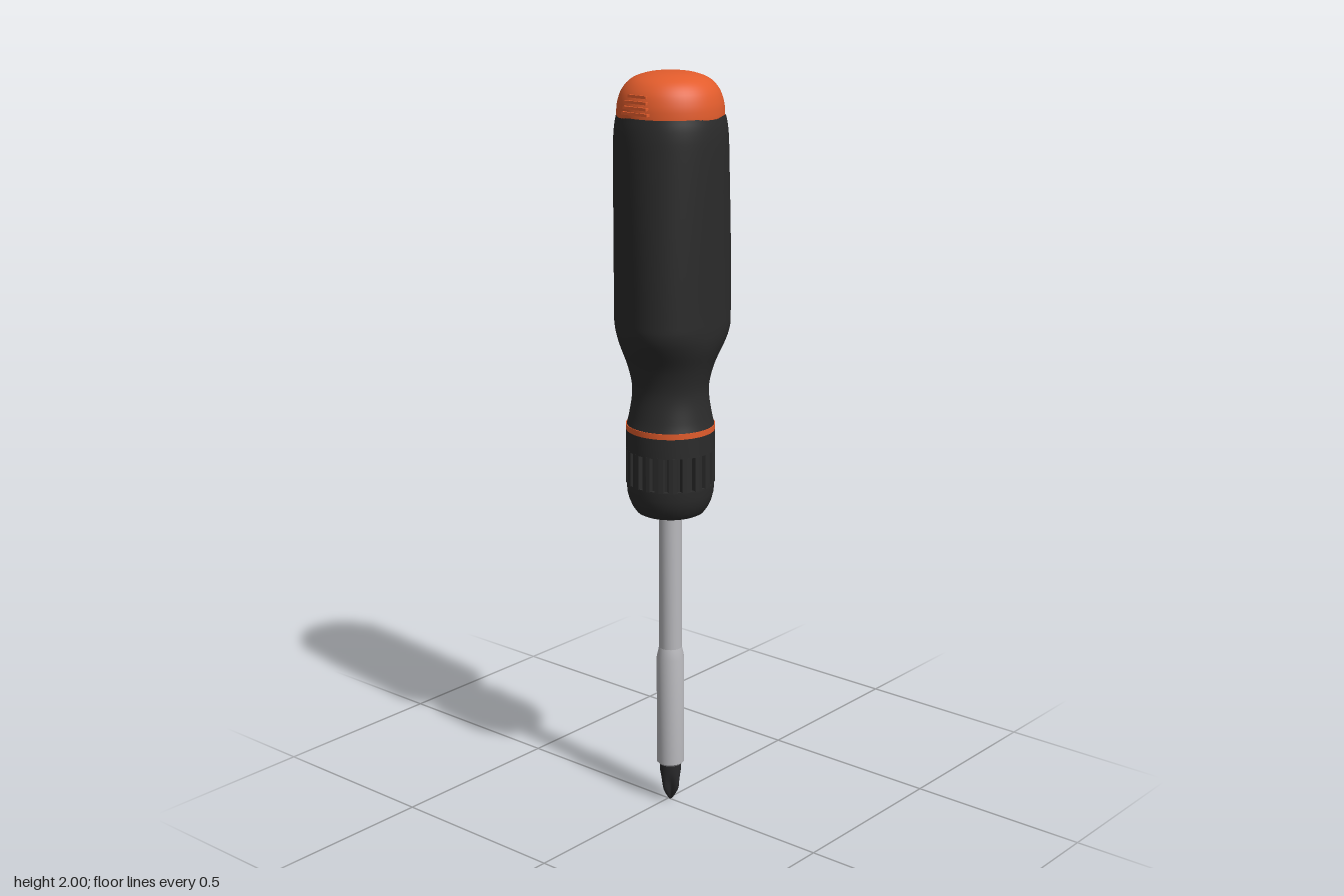
import * as THREE from 'three';
import { toCreasedNormals } from 'three/addons/utils/BufferGeometryUtils.js';

const material = (name, color) => {
  const m = new THREE.MeshStandardMaterial({ color });
  m.name = name;
  return m;
};

// Keeps edges sharper than the given angle; works at a larger scale so close points stay distinct
function crease(geometry, angle = 0.6) {
  geometry.scale(100, 100, 100);
  const out = toCreasedNormals(geometry, angle);
  return out.scale(0.01, 0.01, 0.01);
}

// Turned part from [radius, y] points (bottom to top); scaleAt(angle, y) may reshape the section
function turned(profile, segments = 48, scaleAt = null, angle = 0.6) {
  const geo = new THREE.LatheGeometry(profile.map(([r, y]) => new THREE.Vector2(r, y)), segments);
  if (scaleAt) {
    const p = geo.attributes.position;
    for (let i = 0; i < p.count; i++) {
      const x = p.getX(i), y = p.getY(i), z = p.getZ(i);
      const s = scaleAt(Math.atan2(x, z), y);
      p.setX(i, x * s);
      p.setZ(i, z * s);
    }
  }
  return crease(geo, angle);
}

// Smooth curve through a few [radius, y] points
function smooth(points, n) {
  const curve = new THREE.SplineCurve(points.map(([r, y]) => new THREE.Vector2(r, y)));
  return curve.getPoints(n).map(v => [Math.max(0, v.x), v.y]);
}

export function createModel() {
  const orange = material('orange plastic', 0xe25c2c);
  const rubber = material('black rubber', 0x2b2b2b);
  const steel = material('steel', 0xb9b9bd);
  const darkSteel = material('dark steel', 0x29292b);

  const model = new THREE.Group();
  model.name = 'screwdriver';
  const body = new THREE.Group();
  body.name = 'body';
  body.position.z = 0.007;
  model.add(body);
  const add = (name, geo, mat, parent = body) => {
    const mesh = new THREE.Mesh(geo, mat);
    mesh.name = name;
    parent.add(mesh);
    return mesh;
  };

  // Three-lobed grip: one lobe at the back, two at the sides, fading out at the neck and cap
  const grip = smooth([
    [0.115, 1.085], [0.109, 1.11], [0.101, 1.16], [0.102, 1.2], [0.115, 1.25], [0.138, 1.305],
    [0.148, 1.345], [0.149, 1.4], [0.149, 1.6], [0.147, 1.8], [0.144, 1.86], [0.138, 1.893],
  ], 48);
  const lobes = (a, y) => {
    const amount = THREE.MathUtils.smoothstep(y, 1.2, 1.36) * (1 - THREE.MathUtils.smoothstep(y, 1.4, 1.92));
    return 1 - (0.012 + 0.058 * amount) * Math.cos(3 * a) * THREE.MathUtils.smoothstep(y, 1.2, 1.36);
  };
  add('grip', turned(grip, 72, lobes, 0.9), rubber);

  // Domed end cap
  const dome = smooth([
    [0.137, 1.885], [0.137, 1.9], [0.134, 1.925], [0.123, 1.955], [0.1, 1.98],
    [0.065, 1.994], [0.03, 1.999], [0, 2],
  ], 24);
  add('endCap', turned(dome, 64, null, 0.9), orange);

  // Stepped finger ribs on both sides of the cap
  const ribs = [[0.141, 1.905, 0.042], [0.140, 1.919, 0.038], [0.136, 1.933, 0.034], [0.130, 1.947, 0.029]];
  for (const side of [1, -1]) {
    const group = new THREE.Group();
    group.name = side > 0 ? 'leftCapRibs' : 'rightCapRibs';
    body.add(group);
    for (const [x, y, half] of ribs) {
      const rib = add('capRib', new THREE.BoxGeometry(0.03, 0.007, half * 2), orange, group);
      rib.position.set(side * (x - 0.015), y, 0);
    }
  }

  // Orange band between the grip and the collar
  add('band', turned([[0, 1.071], [0.117, 1.071], [0.117, 1.086], [0, 1.086]]), orange);

  // Collar: plain top, grooved middle, rounded bottom
  add('collarTop', turned([[0, 1.018], [0.117, 1.018], [0.117, 1.071], [0, 1.071]]), rubber);
  const teeth = 20, gear = new THREE.Shape();
  for (let i = 0; i < teeth; i++) {
    const step = (Math.PI * 2) / teeth;
    [[0, 0.106], [0.1, 0.117], [0.4, 0.1178], [0.7, 0.117], [0.8, 0.106]].forEach(([f, r], k) => {
      const a = (i + f) * step;
      gear[i + k === 0 ? 'moveTo' : 'lineTo'](r * Math.cos(a), r * Math.sin(a));
    });
  }
  gear.closePath();
  const knurl = new THREE.ExtrudeGeometry(gear, { depth: 0.095, bevelEnabled: false });
  knurl.rotateX(-Math.PI / 2).translate(0, 0.925, 0);
  add('collarGrooves', knurl, rubber);
  add('collarBottom', turned([
    [0, 0.842], [0.082, 0.842], [0.09, 0.846], [0.1, 0.86], [0.109, 0.88], [0.114, 0.9], [0.116, 0.927], [0, 0.93],
  ]), rubber);

  // Shaft with a thicker bit holder
  add('shaft', turned([[0.031, 0.44], [0.031, 0.85]], 24), steel);
  add('bitHolder', turned([
    [0, 0.112], [0.032, 0.112], [0.0375, 0.118], [0.0375, 0.425], [0.031, 0.455],
  ], 24), steel);

  // Cross-point bit with four flutes deepening toward the tip
  const flutes = (a, y) => 1 - 0.22 * (1 - Math.cos(4 * a)) * (1 - THREE.MathUtils.smoothstep(y, 0.045, 0.085));
  add('bit', turned([
    [0, 0], [0.006, 0.004], [0.017, 0.02], [0.026, 0.036], [0.029, 0.05], [0.029, 0.07], [0.029, 0.09], [0.029, 0.115],
  ], 48, flutes), darkSteel);

  return model;
}
